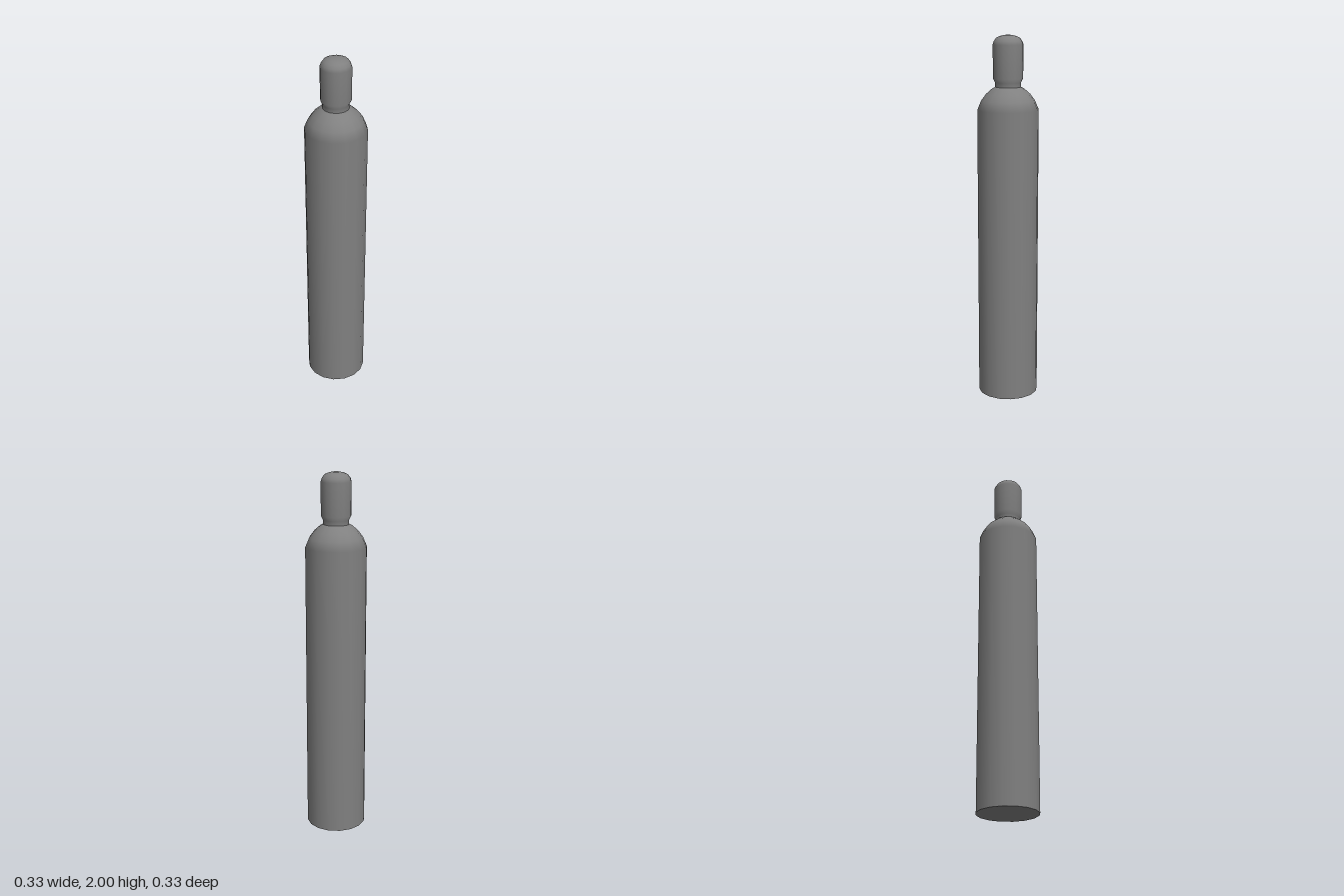
import * as THREE from 'three';

const SIDES = 16;
const material = new THREE.MeshStandardMaterial({ color: 0x808080 });

function lathe(name, profile) {
  const points = profile.map(([r, y]) => new THREE.Vector2(r, y));
  const mesh = new THREE.Mesh(new THREE.LatheGeometry(points, SIDES), material);
  mesh.name = name;
  return mesh;
}

export function createModel() {
  const group = new THREE.Group();
  group.name = 'gasCylinder';

  // Tall tank with a domed shoulder, closed under the cap
  group.add(lathe('tank', [
    [0.166, 0], [0.166, 1.605], [0.145, 1.655], [0.119, 1.69],
    [0.087, 1.718], [0.06, 1.732], [0, 1.74],
  ]));

  // Flat underside, kept separate for a sharp rim
  const base = new THREE.Mesh(new THREE.CircleGeometry(0.166, SIDES), material);
  base.name = 'base';
  base.rotation.x = Math.PI / 2;
  group.add(base);

  // Valve cap with a narrower collar and rounded top
  group.add(lathe('valveCap', [
    [0.07, 1.725], [0.07, 1.75], [0.081, 1.772], [0.082, 1.95],
    [0.076, 1.968], [0.064, 1.985], [0.045, 1.994], [0.022, 2], [0, 2],
  ]));

  return group;
}
